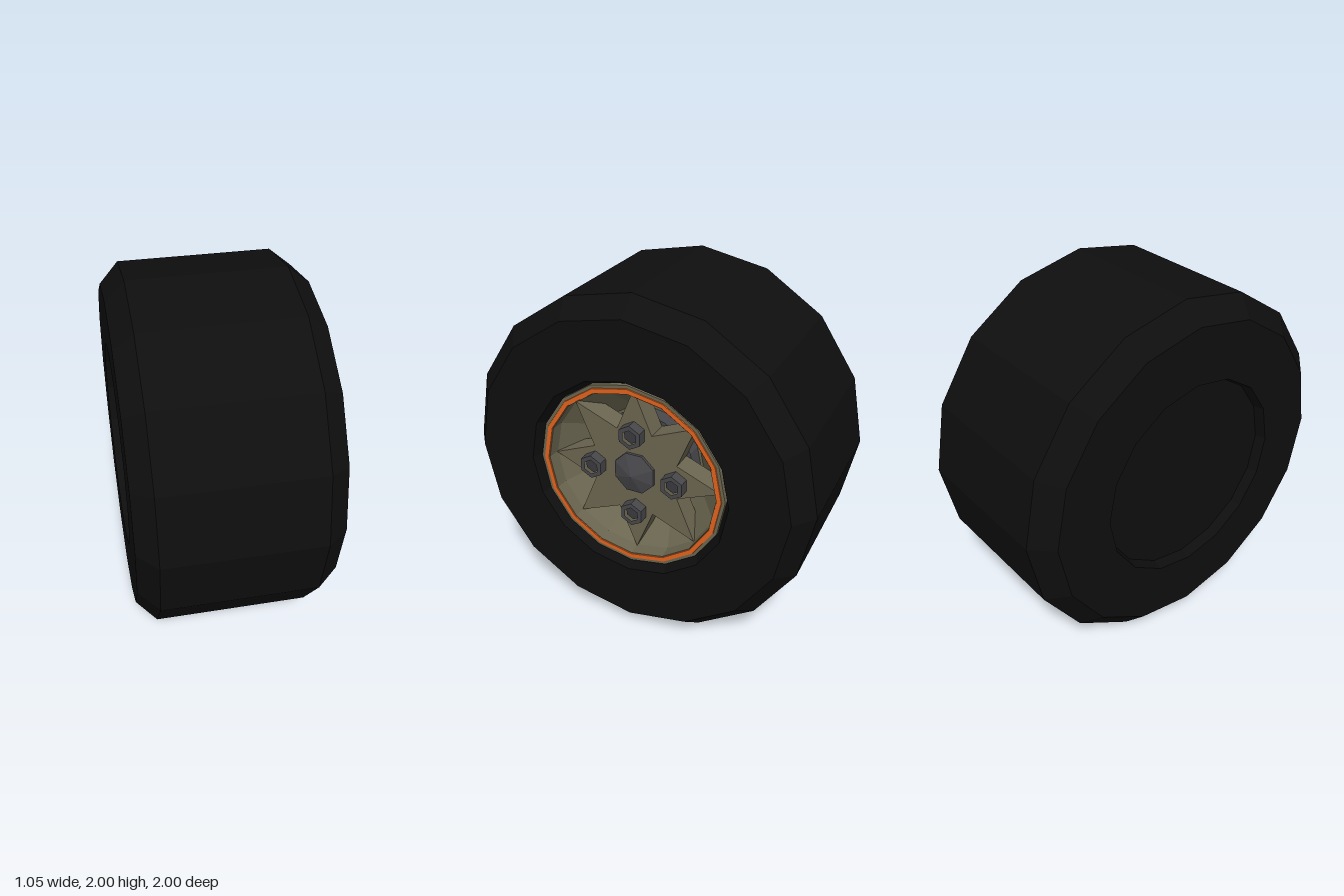
import * as THREE from 'three';

const SIDES = 16;

const mat = (color, double = false) => {
  const m = new THREE.MeshStandardMaterial({ color, flatShading: true });
  if (double) m.side = THREE.DoubleSide;
  return m;
};

// Points on a circle, first one at the top; radii alternate through the list.
function ringPoints(count, ...radii) {
  return Array.from({ length: count }, (_, i) => {
    const a = (i / count) * Math.PI * 2;
    const r = radii[i % radii.length];
    return new THREE.Vector2(r * Math.sin(a), r * Math.cos(a));
  });
}

// Revolve a profile of [radius, x] pairs around the axle (x axis).
function revolve(profile, sides = SIDES) {
  const pts = profile.map(([r, x]) => new THREE.Vector2(r, x));
  return new THREE.LatheGeometry(pts, sides).rotateZ(-Math.PI / 2);
}

// Extrude a flat outline along the axle, from x0 to x1.
function extrudeX(points, x0, x1, hole) {
  const shape = new THREE.Shape(points);
  if (hole) shape.holes.push(new THREE.Path(hole));
  return new THREE.ExtrudeGeometry(shape, { depth: x1 - x0, bevelEnabled: false })
    .rotateY(Math.PI / 2)
    .translate(x0, 0, 0);
}

export function createModel() {
  const wheel = new THREE.Group();
  wheel.name = 'wheel';
  wheel.position.y = 1;

  const rubber = mat(0x0e0e0e, true);
  const khaki = mat(0x6b6650, true);
  const orange = mat(0xe0621c, true);
  const steel = mat(0x47474b);
  const darkSteel = mat(0x3a3a3e);

  const add = (name, geometry, material, parent = wheel) => {
    const mesh = new THREE.Mesh(geometry, material);
    mesh.name = name;
    parent.add(mesh);
    return mesh;
  };

  // Tyre with chamfered shoulders and a shallow closed recess on the inner side
  add('tyre', revolve([
    [0, -0.47], [0.555, -0.47], [0.57, -0.53], [0.89, -0.53], [1, -0.425],
    [1, 0.41], [0.905, 0.525], [0.58, 0.525], [0.545, 0.46],
  ]), rubber);

  // Rim lip and the dished barrel behind the spokes
  add('rim', revolve([
    [0.545, 0.44], [0.545, 0.485], [0.495, 0.485], [0.49, 0.41], [0.3, 0.2], [0, 0.2],
  ]), khaki);

  // Painted stripe around the lip
  add('rimStripe', revolve([
    [0.527, 0.484], [0.525, 0.49], [0.5, 0.49], [0.494, 0.468],
  ]), orange);

  // Drum seen between the spokes
  add('brakeDrum', revolve([[0.285, 0.19], [0.285, 0.29], [0, 0.29]]), steel);

  // Eight tapering spokes in one star
  add('spokes', extrudeX(ringPoints(16, 0.492, 0.265), 0.3, 0.42), khaki);

  // Faceted centre cap
  const cap = add('centreCap', revolve([[0.124, 0.41], [0.124, 0.435], [0, 0.475]], 8), steel);
  cap.rotation.x = Math.PI / 8;

  // Four hexagonal wheel nuts with sunken centres
  const nutRing = extrudeX(ringPoints(6, 0.07), 0.41, 0.478, ringPoints(6, 0.043));
  const nutCore = extrudeX(ringPoints(6, 0.046), 0.41, 0.455);
  for (let i = 0; i < 4; i++) {
    const a = (i * Math.PI) / 2;
    const nut = new THREE.Group();
    nut.name = 'wheelNut';
    nut.position.set(0, 0.24 * Math.cos(a), 0.24 * Math.sin(a));
    add('nutRing', nutRing, steel, nut);
    add('nutCore', nutCore, darkSteel, nut);
    wheel.add(nut);
  }

  const model = new THREE.Group();
  model.name = 'model';
  model.add(wheel);
  return model;
}
